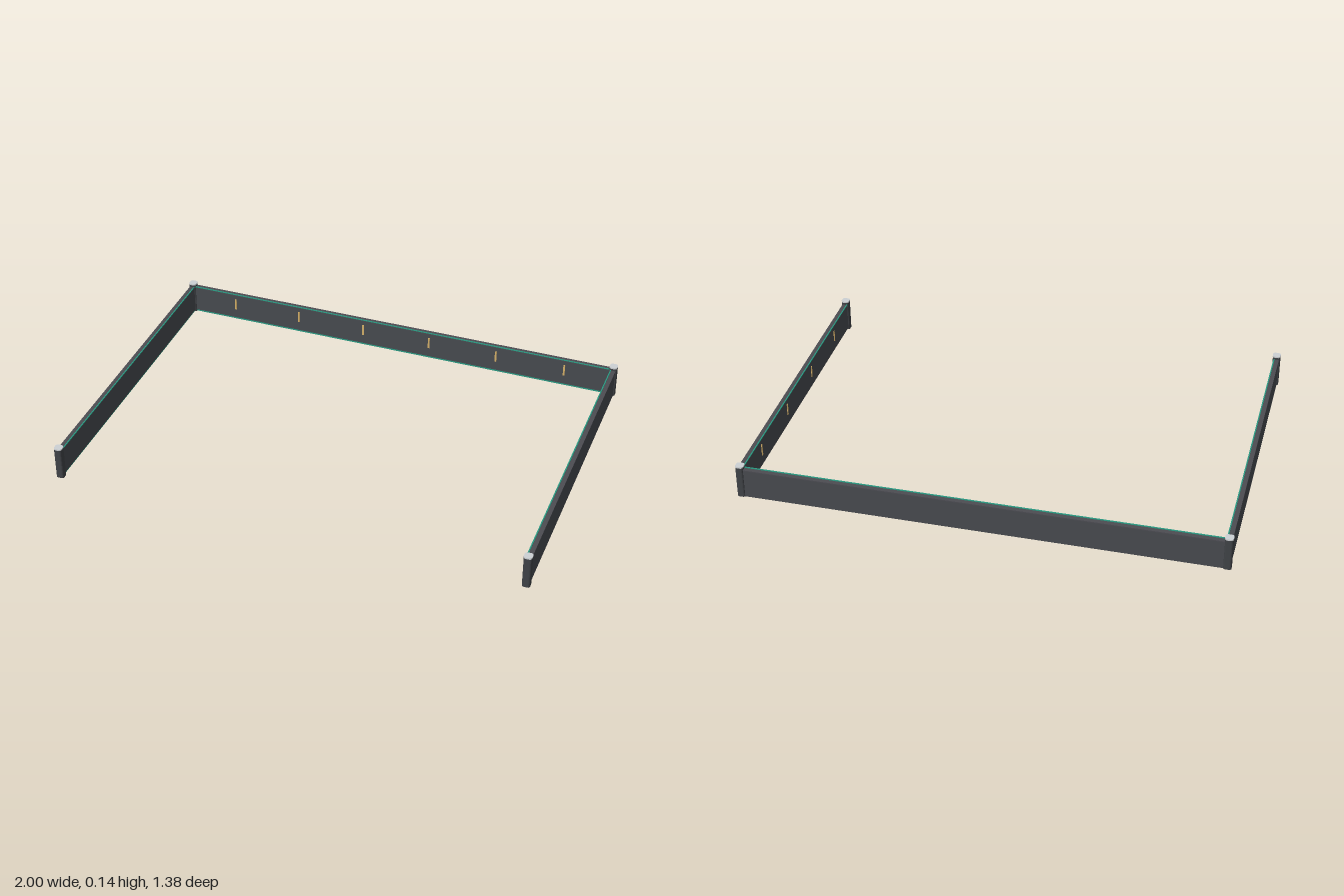
import * as THREE from 'three';

const mat = (name, color) => Object.assign(new THREE.MeshStandardMaterial({ color }), { name });

export function createModel() {
  const root = new THREE.Group();
  root.name = 'perimeterWall';
  const wallGrey = mat('wall grey', 0x474a4f);
  const railGrey = mat('rail grey', 0x4c4c52);
  const postGrey = mat('post grey', 0x3f4246);
  const teal = mat('teal accent', 0x2a9a82);
  const brass = mat('brass', 0xd2ae68);
  const silver = mat('silver cap', 0xcdd1d4);

  const PX = 0.983, PZ = 0.672;

  const box = (parent, name, w, h, d, x, y, z, material) => {
    const m = new THREE.Mesh(new THREE.BoxGeometry(w, h, d), material);
    m.name = name;
    m.position.set(x, y, z);
    parent.add(m);
  };

  // One wall run along local x; its inner face looks along local +z
  function wall(name, length, ticks, baseStrip) {
    const g = new THREE.Group();
    g.name = name;
    box(g, 'panel', length, 0.115, 0.021, 0, 0.0665, 0, wallGrey);
    // Skirt set back on the inner side, with the accent strip in the recess
    box(g, 'skirt', length, 0.009, 0.0145, 0, 0.0045, -0.00325, wallGrey);
    if (baseStrip) box(g, 'baseStrip', length, 0.008, 0.003, 0, 0.004, 0.0055, teal);
    // Top rail with an accent bead along its inner edge
    box(g, 'topRail', length, 0.004, 0.023, 0, 0.126, 0, railGrey);
    box(g, 'topAccent', length, 0.003, 0.005, 0, 0.1295, 0.0095, teal);
    // Evenly spaced upright inlays
    for (let i = 0; i < ticks; i++) {
      box(g, 'inlay', 0.008, 0.052, 0.004, (i - (ticks - 1) / 2) * 0.308, 0.079, 0.0115, brass);
    }
    root.add(g);
    return g;
  }

  wall('backWall', 2 * PX, 6, true).position.z = -PZ;
  const left = wall('leftWall', 2 * PZ, 4, false);
  left.position.x = PX;
  left.rotation.y = -Math.PI / 2;
  const right = wall('rightWall', 2 * PZ, 0, true);
  right.position.x = -PX;
  right.rotation.y = Math.PI / 2;

  // Square prism with softened upright corners
  function softPrism(size, height, r) {
    const h = size / 2, s = new THREE.Shape();
    s.absarc(h - r, h - r, r, 0, Math.PI / 2);
    s.absarc(r - h, h - r, r, Math.PI / 2, Math.PI);
    s.absarc(r - h, r - h, r, Math.PI, Math.PI * 1.5);
    s.absarc(h - r, r - h, r, Math.PI * 1.5, Math.PI * 2);
    return new THREE.ExtrudeGeometry(s, { depth: height, bevelEnabled: false, curveSegments: 3 })
      .rotateX(-Math.PI / 2);
  }
  const postGeo = softPrism(0.032, 0.138, 0.008);
  const capGeo = softPrism(0.034, 0.006, 0.011);

  // Corner and end posts with caps
  for (const sx of [-1, 1]) for (const sz of [-1, 1]) {
    const post = new THREE.Mesh(postGeo, postGrey);
    post.name = 'post';
    post.position.set(sx * PX, 0, sz * PZ);
    const cap = new THREE.Mesh(capGeo, silver);
    cap.name = 'postCap';
    cap.position.y = 0.138;
    post.add(cap);
    root.add(post);
  }
  return root;
}
